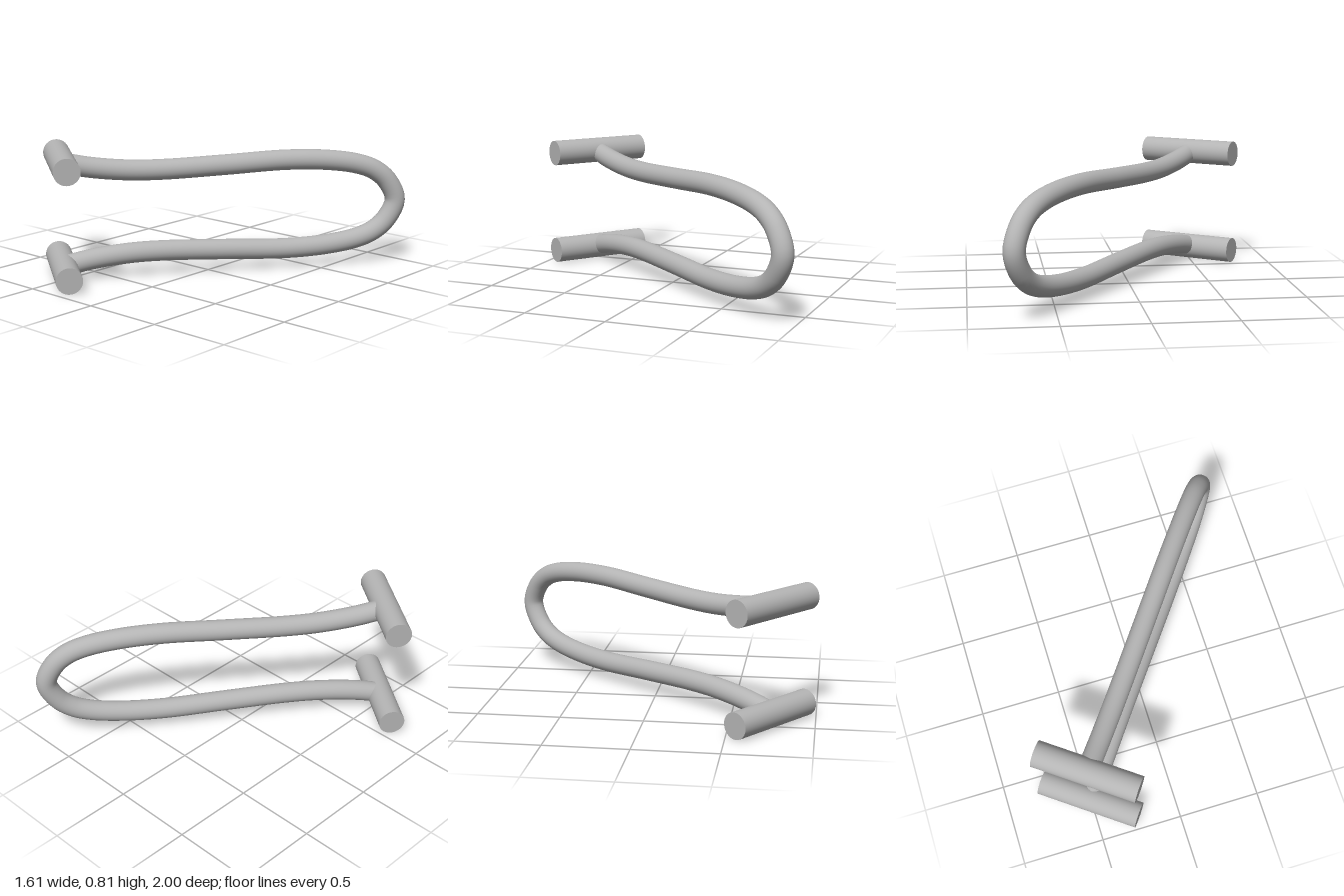
import * as THREE from 'three';

export function createModel() {
  const model = new THREE.Group();
  const grey = new THREE.MeshStandardMaterial({ color: 0xb4b4b4 });
  grey.name = 'plain grey';

  const midY = 0.4035; // height of the mirror plane

  // Built along local x, then turned diagonally in plan
  const hook = new THREE.Group();
  hook.name = 'hook';
  hook.position.set(-0.503, 0, 0.745);
  hook.rotation.y = 0.934;
  model.add(hook);

  // Bent rod: [distance along, offset from the mirror plane]
  const half = [
    [0, 0.318], [0.18, 0.282], [0.4, 0.258], [0.61, 0.253], [1.0, 0.266],
    [1.384, 0.281], [1.65, 0.269], [1.84, 0.238], [1.95, 0.196], [2.035, 0.125],
  ];
  const upper = half.map(([s, d]) => new THREE.Vector3(s, midY + d, 0));
  const lower = half.map(([s, d]) => new THREE.Vector3(s, midY - d, 0)).reverse();
  const path = new THREE.CatmullRomCurve3([...upper, new THREE.Vector3(2.092, midY, 0), ...lower]);
  const rod = new THREE.Mesh(new THREE.TubeGeometry(path, 160, 0.063, 32), grey);
  rod.name = 'bentRod';
  hook.add(rod);

  // Crossbars at the two rod ends
  for (const side of [1, -1]) {
    const bar = new THREE.Mesh(new THREE.CylinderGeometry(0.08, 0.08, 0.636, 48), grey);
    bar.name = side > 0 ? 'upperCrossbar' : 'lowerCrossbar';
    bar.rotation.x = Math.PI / 2;
    bar.position.y = midY + side * 0.3235;
    hook.add(bar);
  }
  return model;
}
